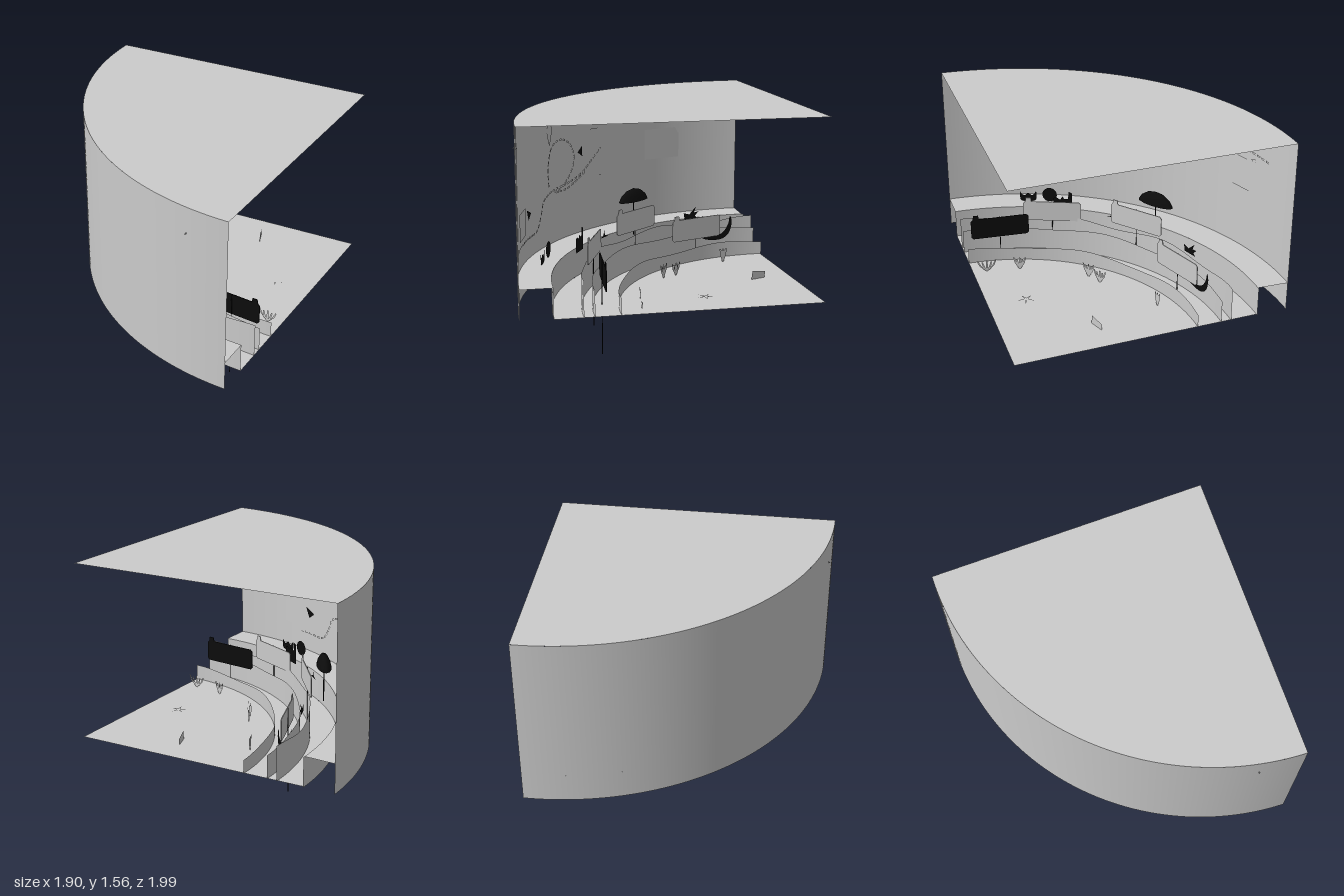
import * as THREE from 'three';

const CX = 0.95, CZ = -0.91, R = 1.905, FLOOR = 0.34, TOP = 1.56;
const PHI0 = 0.018, PHI1 = 1.6;
const grey = new THREE.MeshStandardMaterial({ color: 0xcccccc, side: THREE.DoubleSide });
const black = new THREE.MeshStandardMaterial({ color: 0x0c0c0c, side: THREE.DoubleSide });

// polar helpers around the centre of the curved wall
const px = (r, phi) => CX - r * Math.sin(phi);
const pz = (r, phi) => CZ + r * Math.cos(phi);
const phiAt = (z, r) => Math.acos((z - CZ) / r);
const pts = list => list.map(p => new THREE.Vector2(p[0], p[1]));

export function createModel() {
  const model = new THREE.Group();

  function add(name, geo, mat = grey, parent = model) {
    const m = new THREE.Mesh(geo, mat);
    m.name = name;
    parent.add(m);
    return m;
  }
  // place an object facing the centre: local x runs along the wall towards -z
  function place(obj, z, r, y) {
    const phi = phiAt(z, r);
    obj.position.set(px(r, phi), y, pz(r, phi));
    obj.rotation.y = Math.PI - phi;
    return obj;
  }
  const poly = list => new THREE.ShapeGeometry(new THREE.Shape(pts(list)));
  const smooth = list => {
    const s = new THREE.Shape();
    s.moveTo(...list[0]);
    s.splineThru(pts([...list.slice(1), list[0]]));
    return new THREE.ShapeGeometry(s, 8);
  };

  // horizontal sheets
  function sheet(name, outer, inner, y) {
    const arc = (r, n = 72) => Array.from({ length: n + 1 }, (_, i) => {
      const phi = PHI0 + (1.587 - PHI0) * i / n;
      return [px(r, phi), -pz(r, phi)];
    });
    const outline = inner ? [...arc(outer), ...arc(inner).reverse()] : [[0.95, 1], ...arc(outer)];
    const g = poly(outline);
    g.rotateX(-Math.PI / 2);
    add(name, g).position.y = y;
  }
  sheet('roof', R, 0, TOP);
  sheet('floor', 1.69, 0, FLOOR);
  sheet('shelf', R, 1.69, 0.545);

  // upright curved strips with a height rule for the top edge
  function strip(name, r, end, top) {
    const g = new THREE.PlaneGeometry(1, 1, 96, 1), p = g.attributes.position;
    for (let i = 0; i < p.count; i++) {
      const t = p.getX(i) + 0.5, phi = PHI0 + (end - PHI0) * t;
      p.setXYZ(i, px(r, phi), p.getY(i) > 0 ? top(t) : FLOOR, pz(r, phi));
    }
    g.computeVertexNormals();
    add(name, g);
  }
  strip('backWall', R, 1.587, () => TOP);
  strip('shelfFront', 1.69, 1.595, () => 0.545);
  strip('backWave', 1.5, PHI1, t => 0.56 + 0.018 * Math.cos(t * 19));
  strip('middleWave', 1.43, PHI1, t => 0.51 + 0.012 * Math.sin(t * 17));
  strip('frontWave', 1.26, 1.61, t => 0.44 + 0.012 * Math.cos(t * 15));

  // signs on thin poles: x, z, pole bottom, sign bottom, sign top, turn, material
  const signs = [
    [-0.35, -0.47, 0.025, 0.47, 0.63, 1.9, grey],
    [-0.225, 0.015, 0.135, 0.59, 0.745, 2.24, grey],
    [0.28, 0.41, 0.065, 0.55, 0.70, 2.75, grey],
    [0.67, 0.425, 0, 0.48, 0.635, 3.06, black],
  ];
  for (const [x, z, y0, y1, y2, turn, mat] of signs) {
    const sign = new THREE.Group(), h = (y2 - y1) / 2, w = 0.21, c = 0.015;
    sign.name = 'sign';
    const s = new THREE.Shape(pts([
      [-w + c, -h], [w - c, -h], [w, -h + c], [w, h - c], [w - c, h], [-w + 0.06, h],
      [-w + 0.055, h + 0.03], [-w + 0.02, h + 0.03], [-w + 0.015, h], [-w, h - c], [-w, -h + c]]));
    const board = new THREE.ExtrudeGeometry(s, { depth: 0.006, bevelEnabled: false });
    add('signBoard', board, mat, sign).position.y = (y1 + y2) / 2;
    add('signPole', new THREE.CylinderGeometry(0.003, 0.003, y2 - y0, 8), black, sign)
      .position.set(0, (y0 + y2) / 2, -0.004);
    sign.position.set(x, 0, z);
    sign.rotation.y = turn;
    model.add(sign);
  }

  // dashed trail along the wall, given as z, y
  const trails = [
    [[0.97, 0.69], [0.85, 0.69], [0.76, 0.70], [0.72, 0.80], [0.70, 0.87], [0.62, 0.92], [0.5, 0.935],
      [0.37, 0.98], [0.27, 1.07], [0.17, 1.17], [0.05, 1.24], [-0.1, 1.27], [-0.3, 1.29], [-0.62, 1.28]],
    [[0.65, 0.95], [0.655, 1.1], [0.62, 1.23], [0.54, 1.265], [0.46, 1.21], [0.43, 1.1], [0.47, 0.99],
      [0.55, 0.92], [0.6, 0.905], [0.5, 0.9], [0.4, 0.945], [0.33, 0.99]],
  ];
  const RW = 1.897;
  for (const t of trails) {
    const curve = new THREE.CatmullRomCurve3(t.map(([z, y]) => new THREE.Vector3(phiAt(z, RW) * RW, y, 0)));
    const n = Math.round(curve.getLength() / 0.05);
    for (let i = 0; i < n; i++) {
      const u = (i + 0.5) / n, p = curve.getPointAt(u), d = curve.getTangentAt(u);
      const g = new THREE.PlaneGeometry(0.034, 0.014).rotateZ(Math.atan2(d.y, d.x));
      place(add('trailDash', g), pz(RW, p.x / RW), RW, p.y);
    }
  }

  // flat pictures on the wall
  const wall = (name, geo, z, y, mat) => place(add(name, geo, mat), z, RW, y);
  wall('balloon', smooth([[0, -0.08], [0.035, 0.01], [0.03, 0.065], [0, 0.075], [-0.03, 0.065], [-0.035, 0.01]]), 0.64, 1.32);
  wall('bubble', smooth([[-0.1, 0], [-0.03, 0.06], [0.03, 0.07], [0.075, 0.01], [0.03, -0.07], [-0.03, -0.05]]), 0.2, 1);
  wall('cloud', smooth([[-0.07, -0.04], [0.04, -0.04], [0.06, 0.02], [0.02, 0.05], [-0.02, 0.03], [-0.06, 0.05]]), 0.25, 1.33);
  wall('largePicture', new THREE.PlaneGeometry(0.3, 0.23), -0.325, 1.105);
  wall('pictureFlag', poly([[-0.025, 0.03], [0.025, 0.04], [0.015, -0.04]]), -0.45, 1.21);
  wall('tallPicture', new THREE.PlaneGeometry(0.21, 0.185), 0.898, 0.82);
  wall('smallPicture', new THREE.PlaneGeometry(0.2, 0.1), 0.96, 1.33);
  wall('dart', poly([[-0.03, 0], [0.02, 0.04], [0.025, -0.035]]), 0.375, 1.14, black);
  wall('dart', poly([[-0.05, 0.04], [0.05, 0], [-0.01, -0.04]]), 0.835, 0.85, black);
  add('wallPin', new THREE.ConeGeometry(0.008, 0.03, 8).rotateX(Math.PI / 2)).position.set(0.62, 1.38, 0.97);

  // parasol on the shelf
  const parasol = new THREE.Group();
  parasol.name = 'parasol';
  const canopy = new THREE.LatheGeometry(pts([[0.145, -0.05], [0.12, -0.01], [0.07, 0.025], [0, 0.042]]), 12);
  canopy.scale(1, 1, 0.35);
  add('parasolCanopy', canopy, black, parasol).position.y = 0.285;
  add('parasolPole', new THREE.CylinderGeometry(0.004, 0.004, 0.34, 8), black, parasol).position.y = 0.15;
  model.add(place(parasol, 0, 1.6, 0.545));

  // flat black cut-outs among the waves
  const cut = (name, geo, z, r, y) => place(add(name, geo, black), z, r, y);
  cut('boat', smooth([[-0.15, 0.02], [-0.06, -0.005], [0.06, 0], [0.12, 0.06], [0.14, 0.13], [0.155, 0.08], [0.13, 0], [0.06, -0.04], [-0.06, -0.03]]), -0.62, 1.4, 0.475);
  cut('beachBall', new THREE.CircleGeometry(0.055, 24), 0.71, 1.78, 0.605);
  cut('crab', smooth([[-0.06, 0.04], [-0.03, 0.01], [0, 0.03], [0.03, 0.01], [0.06, 0.04], [0.05, -0.03], [-0.05, -0.03]]), 0.77, 1.78, 0.585);
  cut('sandCastle', poly([[-0.07, 0], [0.07, 0], [0.07, 0.15], [0.045, 0.16], [0.04, 0.1], [0.01, 0.1], [0, 0.12], [-0.02, 0.09], [-0.05, 0.11], [-0.07, 0.1]]), 0.49, 1.6, 0.57);
  cut('pebbles', poly([[-0.05, 0], [0.05, 0], [0.01, 0.015], [0, 0.05], [-0.01, 0.015]]), 0.26, 1.6, 0.575);
  cut('palmLeaves', poly([[-0.05, 0], [-0.06, 0.05], [-0.01, 0.035], [0.05, 0.09], [0.03, 0.045], [0.07, 0.05], [0.04, 0.02], [0.06, 0]]), -0.45, 1.47, 0.6);

  // branching sea plants on the floor: x, z, width, height
  for (const [x, z, w, h] of [[0.83, 0.2, 0.13, 0.085], [0.6, 0.16, 0.08, 0.09], [0.17, -0.1, 0.08, 0.1],
    [0.12, -0.2, 0.09, 0.09], [-0.15, -0.62, 0.05, 0.1]]) {
    const plant = new THREE.Group();
    plant.name = 'seaPlant';
    for (let i = -2; i <= 2; i++) {
      const tip = i * w / 4, y = h * (1 - 0.12 * (Math.abs(i) % 2));
      const g = poly([[-0.006, 0], [0.006, 0], [tip * 0.7 + 0.008, y * 0.5], [tip + 0.005, y], [tip - 0.005, y], [tip * 0.7 - 0.006, y * 0.5]]);
      add('plantBranch', g, grey, plant);
    }
    plant.position.set(x, FLOOR, z);
    plant.rotation.y = Math.atan2(CX - x, CZ - z);
    model.add(plant);
  }

  // starfish lying on the floor and a tilted card stuck into it
  const star = poly(Array.from({ length: 10 }, (_, i) => {
    const r = i % 2 ? 0.014 : 0.06, a = i * Math.PI / 5;
    return [r * Math.cos(a), r * Math.sin(a)];
  })).rotateX(-Math.PI / 2);
  add('starfish', star).position.set(0.67, FLOOR + 0.006, -0.265);
  const card = add('tiltedCard', new THREE.PlaneGeometry(0.11, 0.065).rotateZ(-0.15));
  card.position.set(0.32, 0.36, -0.74);
  card.rotation.y = 1.9;

  return model;
}
